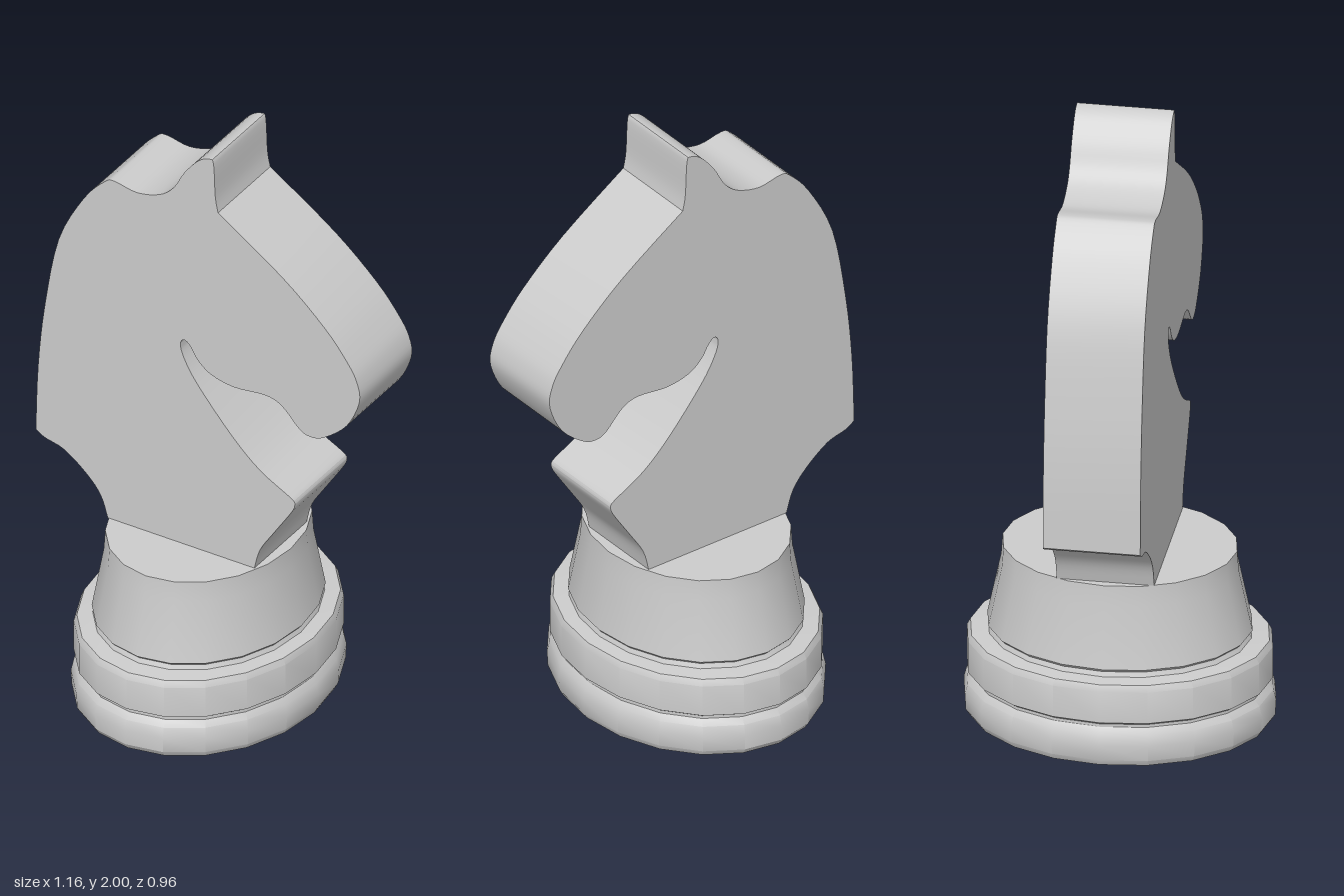
import * as THREE from 'three';
import { toCreasedNormals } from 'three/addons/utils/BufferGeometryUtils.js';

const material = new THREE.MeshStandardMaterial({ color: 0xcccccc });

function addPart(group, name, geometry, crease) {
  const mesh = new THREE.Mesh(toCreasedNormals(geometry, crease), material);
  mesh.name = name;
  group.add(mesh);
  return mesh;
}

// Smooth runs of the head outline, each ending at a sharp corner
const outlineRuns = [
  // chest
  [[0.2, 0.567], [0.22, 0.64], [0.27, 0.72], [0.335, 0.82], [0.345, 0.85]],
  // throat, jaw, muzzle and forehead
  [[0.345, 0.85], [0.33, 0.868], [0.22, 0.93], [0.12, 1.02], [0, 1.16], [-0.05, 1.24], [-0.065, 1.29],
    [-0.052, 1.31], [-0.03, 1.295], [0, 1.25], [0.05, 1.215], [0.13, 1.2], [0.24, 1.21], [0.3, 1.19],
    [0.36, 1.13], [0.4, 1.115], [0.45, 1.13], [0.53, 1.2], [0.575, 1.3], [0.567, 1.37], [0.53, 1.435],
    [0.45, 1.53], [0.3, 1.66], [0.07, 1.815]],
  // ear, crest and mane
  [[0.07, 1.815], [0.06, 1.87], [0.054, 1.985], [0.04, 2], [0, 1.98], [-0.05, 1.92], [-0.09, 1.85],
    [-0.14, 1.808], [-0.22, 1.787], [-0.3, 1.8], [-0.335, 1.787], [-0.41, 1.7], [-0.5, 1.52],
    [-0.55, 1.26], [-0.574, 1.03], [-0.582, 0.8]],
  // nape
  [[-0.582, 0.8], [-0.55, 0.78], [-0.48, 0.76], [-0.4, 0.7], [-0.35, 0.64], [-0.325, 0.567]],
];

export function createModel() {
  const group = new THREE.Group();
  group.name = 'chessKnight';

  // Oval turned base: two rings and a tapered pedestal
  const profile = [
    [0, 0], [0.465, 0], [0.478, 0.02], [0.481, 0.07], [0.472, 0.105], [0.455, 0.125],
    [0.455, 0.135], [0.471, 0.145], [0.471, 0.25], [0.46, 0.27],
    [0.405, 0.275], [0.398, 0.29], [0.408, 0.3], [0.366, 0.5], [0.361, 0.567], [0, 0.567],
  ].map(([r, y]) => new THREE.Vector2(r, y));
  const base = new THREE.LatheGeometry(profile, 20);
  base.scale(0.815, 1, 1);
  addPart(group, 'base', base, 0.5).position.x = -0.057;

  // Flat horse head
  const points = [];
  for (const run of outlineRuns) {
    const curve = new THREE.SplineCurve(run.map(([x, y]) => new THREE.Vector2(x, y)));
    const samples = curve.getPoints((run.length - 1) * 4);
    points.push(...(points.length ? samples.slice(1) : samples));
  }
  const head = new THREE.ExtrudeGeometry(new THREE.Shape(points), { depth: 0.3, bevelEnabled: false });
  head.translate(0, 0, -0.15);
  addPart(group, 'horseHead', head, 0.6);

  return group;
}
